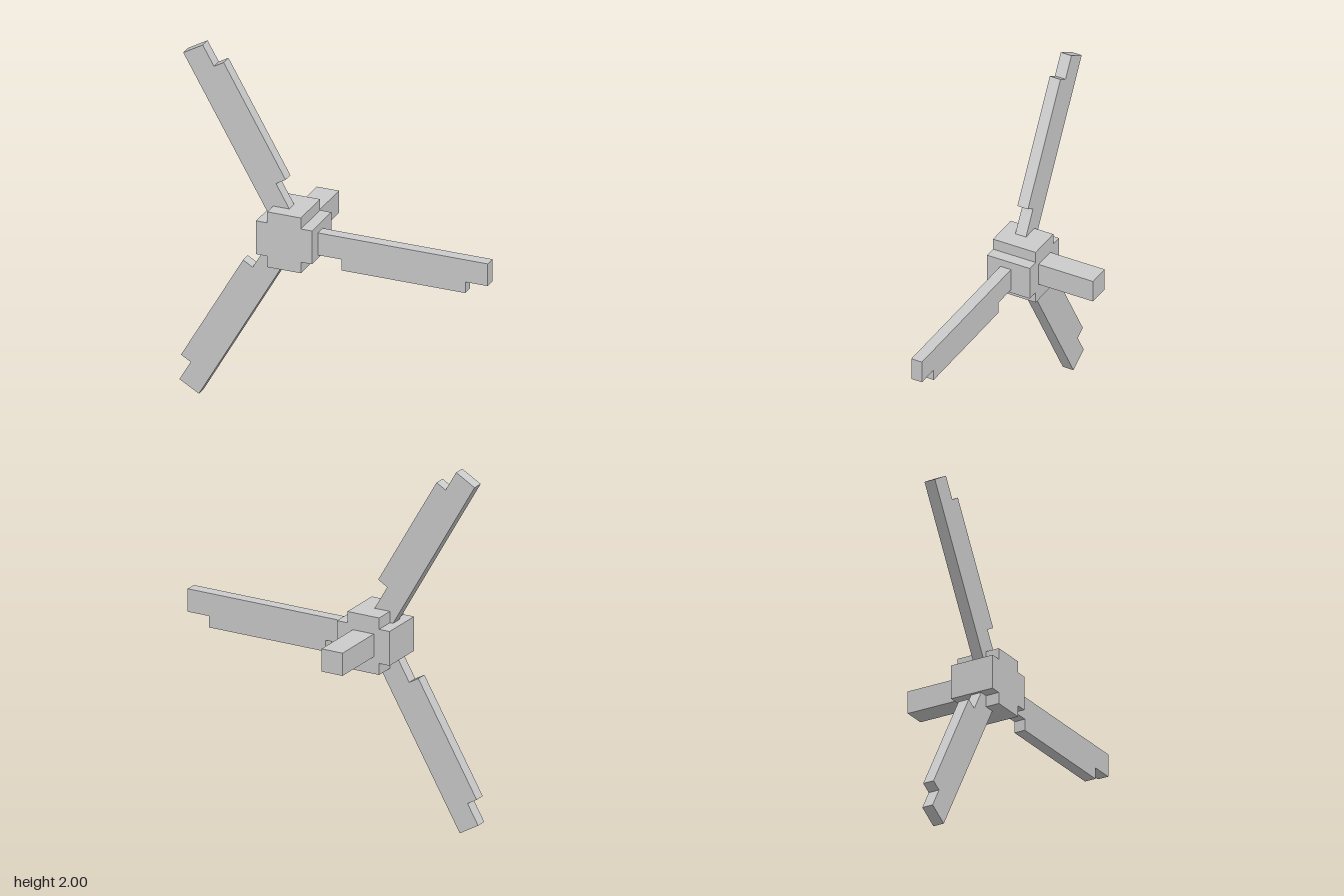
import * as THREE from 'three';

const CX = -0.249, CY = 0.997;
const material = new THREE.MeshStandardMaterial({ color: 0xcccccc, flatShading: true });

// Extrudes an outline of [x, y] points from z0 to z1
function slab(name, points, z0, z1) {
  const shape = new THREE.Shape(points.map(([x, y]) => new THREE.Vector2(x, y)));
  const geometry = new THREE.ExtrudeGeometry(shape, { depth: z1 - z0, bevelEnabled: false });
  geometry.translate(0, 0, z0);
  const mesh = new THREE.Mesh(geometry, material);
  mesh.name = name;
  return mesh;
}

export function createModel() {
  const model = new THREE.Group();
  model.name = 'rotor';

  const rotor = new THREE.Group();
  rotor.name = 'rotorAssembly';
  rotor.position.set(CX, CY, 0);
  model.add(rotor);

  // Hub: square block with notched corners
  const a = 0.095, b = 0.158;
  rotor.add(slab('hub', [
    [-a, -b], [a, -b], [a, -a], [b, -a], [b, a], [a, a],
    [a, b], [-a, b], [-a, a], [-b, a], [-b, -a], [-a, -a],
  ], 0.035, 0.287));

  // Square shaft running out of the back of the hub
  const s = 0.063;
  rotor.add(slab('shaft', [[-s, -s], [s, -s], [s, s], [-s, s]], -0.287, 0.035));

  // Three blades, each a spar with a wider stretch along one edge
  const outline = [
    [0.05, -0.076], [0.29, -0.076], [0.29, -0.139], [0.99, -0.139],
    [0.99, -0.076], [1.117, -0.076], [1.117, 0.051], [0.05, 0.051],
  ];
  for (let i = 0; i < 3; i++) {
    const blade = slab('blade' + (i + 1), outline, 0.146, 0.209);
    blade.rotation.z = (i * Math.PI * 2) / 3;
    rotor.add(blade);
  }
  return model;
}
